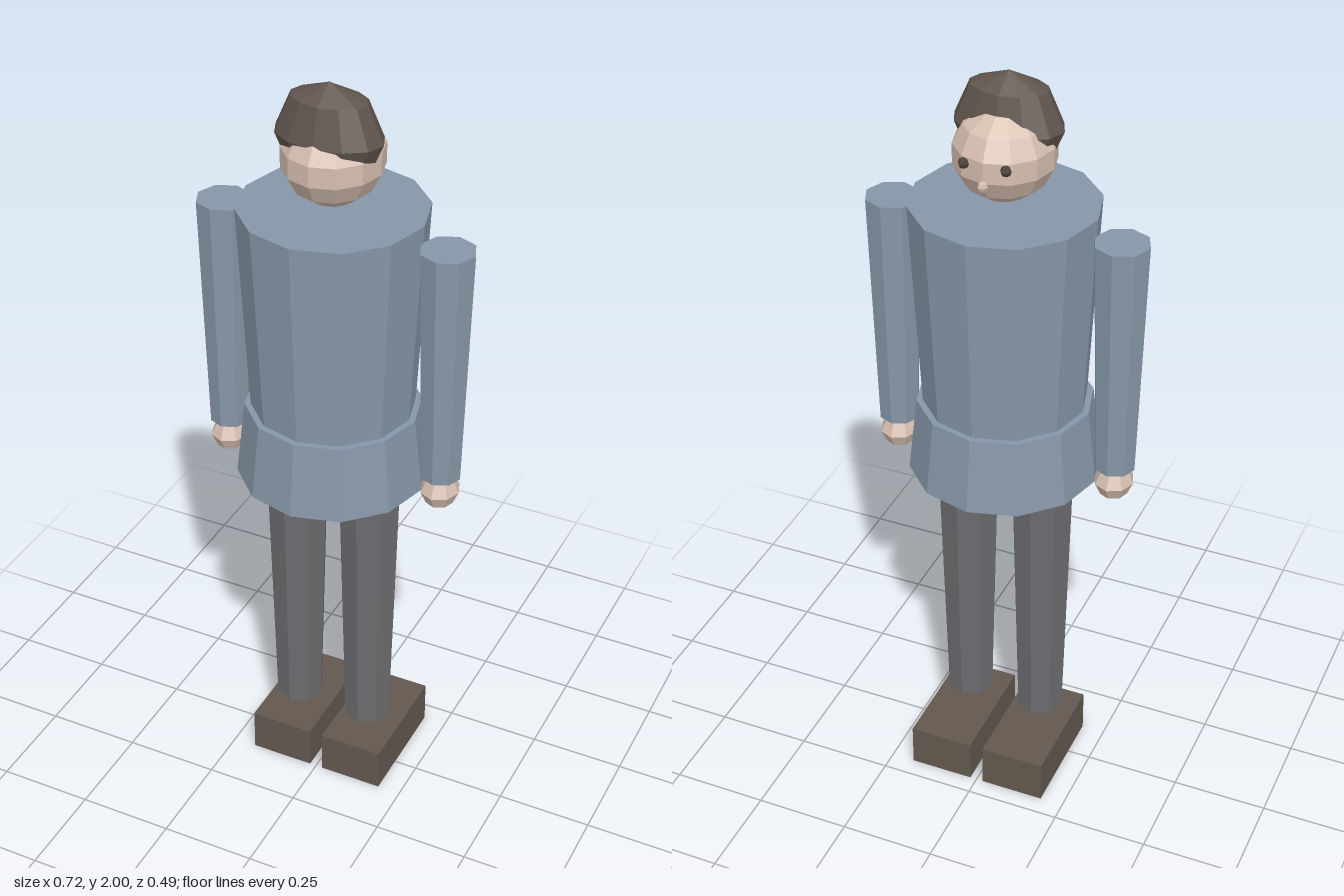
import * as THREE from 'three';

const mat = (name, color) => {
  const m = new THREE.MeshStandardMaterial({ color, flatShading: true });
  m.name = name;
  return m;
};

export function createModel() {
  const jacket = mat('jacket blue', 0x8797a8);
  const trouser = mat('trouser grey', 0x6c6c70);
  const shoe = mat('shoe brown', 0x63584f);
  const skin = mat('skin', 0xd6bfb0);
  const hair = mat('hair brown', 0x5f554d);
  const eye = mat('eye dark', 0x4a423c);

  const group = new THREE.Group();
  group.name = 'figure';

  const add = (name, geometry, material, x, y, z) => {
    const mesh = new THREE.Mesh(geometry, material);
    mesh.name = name;
    mesh.position.set(x, y, z);
    group.add(mesh);
    return mesh;
  };
  // Tapered cylinder between two heights
  const taper = (name, material, rTop, rBottom, y0, y1, sides, x = 0) =>
    add(name, new THREE.CylinderGeometry(rTop, rBottom, y1 - y0, sides), material, x, (y0 + y1) / 2, 0);
  // Faceted ellipsoid
  const ball = (name, material, [rx, ry, rz], [x, y, z], w, h) =>
    add(name, new THREE.SphereGeometry(1, w, h).scale(rx, ry, rz), material, x, y, z);

  // Jacket body and flared skirt
  taper('torso', jacket, 0.232, 0.205, 1.13, 1.677, 12);
  taper('jacketSkirt', jacket, 0.221, 0.243, 0.937, 1.135, 12);

  // Head, hair and nose; the face looks towards -z
  ball('head', skin, [0.125, 0.118, 0.134], [0, 1.81, 0], 12, 7);
  ball('hair', hair, [0.137, 0.13, 0.088], [0, 1.87, 0.022], 12, 4);
  ball('nose', skin, [0.013, 0.014, 0.014], [0, 1.778, -0.131], 6, 4);

  for (const [side, s] of [['left', 1], ['right', -1]]) {
    ball(side + 'Eye', eye, [0.014, 0.014, 0.014], [s * 0.052, 1.822, -0.119], 6, 4);

    // Sleeve and hand
    taper(side + 'Arm', jacket, 0.069, 0.052, 1.0, 1.63, 8, s * 0.293);
    ball(side + 'Hand', skin, [0.05, 0.048, 0.056], [s * 0.293, 0.958, 0], 8, 4);

    // Trouser leg and shoe
    taper(side + 'Leg', trouser, 0.083, 0.063, 0.164, 0.95, 8, s * 0.102);
    add(side + 'Shoe', new THREE.BoxGeometry(0.17, 0.117, 0.31), shoe, s * 0.103, 0.0585, -0.045);
  }
  return group;
}
